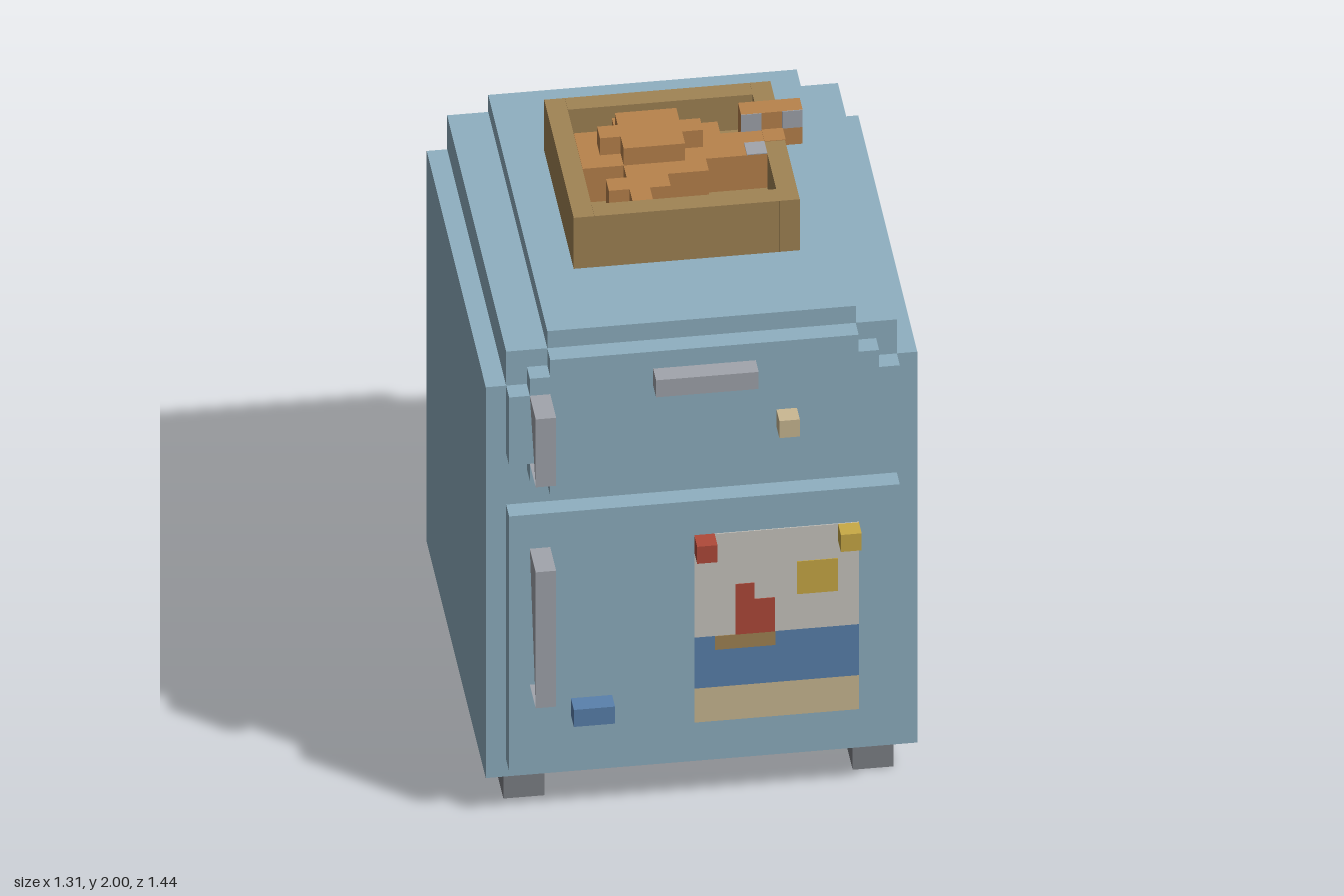
import * as THREE from 'three';

const mat = (name, color) => {
  const m = new THREE.MeshStandardMaterial({ color });
  m.name = name;
  return m;
};

export function createModel() {
  const model = new THREE.Group();
  model.name = 'refrigerator';

  const enamel = mat('blue enamel', 0x8fb0c1);
  const footGrey = mat('foot grey', 0x7e8187);
  const metal = mat('light metal', 0xa2a5ad);
  const tan = mat('sand tan', 0xcbb993);
  const red = mat('red', 0xb04a3a);
  const yellow = mat('yellow', 0xc9aa46);
  const blue = mat('sea blue', 0x5a81ad);
  const brown = mat('box brown', 0xa18455);
  const orange = mat('orange', 0xb9834c);
  const paper = mat('paper', 0xcac7c0);

  const add = (name, geometry, material, parent = model) => {
    const mesh = new THREE.Mesh(geometry, material);
    mesh.name = name;
    parent.add(mesh);
    return mesh;
  };
  // Box given by its two limits on each axis
  const box = (name, material, [x0, x1], [y0, y1], [z0, z1], parent) => {
    const m = add(name, new THREE.BoxGeometry(x1 - x0, y1 - y0, z1 - z0), material, parent);
    m.position.set((x0 + x1) / 2, (y0 + y1) / 2, (z0 + z1) / 2);
    return m;
  };
  // Mirrored outline from [half width, height] points, extruded along z
  const slab = (name, material, half, z0, z1) => {
    const pts = half.map(([w, y]) => new THREE.Vector2(w, y));
    pts.push(...half.slice().reverse().map(([w, y]) => new THREE.Vector2(-w, y)));
    const g = new THREE.ExtrudeGeometry(new THREE.Shape(pts), { depth: z1 - z0, bevelEnabled: false });
    g.translate(0, 0, z0);
    return add(name, g, material);
  };

  // Cabinet with stepped shoulders, and its doors
  slab('cabinet', enamel, [
    [0.656, 0.125], [0.656, 1.5625], [0.594, 1.5625], [0.594, 1.6875], [0.469, 1.6875], [0.469, 1.75],
  ], -0.719, 0.531);
  slab('freezerDoor', enamel, [
    [0.469, 1.1875], [0.469, 1.25], [0.531, 1.25], [0.531, 1.3125], [0.594, 1.3125],
    [0.594, 1.5625], [0.531, 1.5625], [0.531, 1.625], [0.469, 1.625], [0.469, 1.6875],
  ], 0.531, 0.594);
  slab('lowerDoor', enamel, [[0.594, 0.1875], [0.594, 1.125]], 0.531, 0.594);

  // Feet
  for (const s of [-1, 1]) for (const z of [0.406, -0.594]) {
    box('foot', footGrey, [s * 0.531 - 0.0625, s * 0.531 + 0.0625], [0, 0.125], [z - 0.0625, z + 0.0625]);
  }

  // Open-backed handles with a triangular web on each side
  const handleMetal = metal;
  handleMetal.side = THREE.DoubleSide;
  const handle = (name, y0, y1) => {
    const [x0, x1, z0, z1] = [-0.531, -0.469, 0.594, 0.719];
    const corners = [];
    for (const x of [x0, x1]) for (const y of [y0, y1]) for (const z of [z0, z1]) corners.push([x, y, z]);
    const faces = [
      [1, 5, 7], [1, 7, 3], // front
      [2, 3, 7], [2, 7, 6], // top
      [0, 4, 5], [0, 5, 1], // bottom
      [5, 4, 7], // web on the right-hand side
      [1, 3, 2], // web on the other side
    ];
    const g = new THREE.BufferGeometry();
    g.setAttribute('position', new THREE.Float32BufferAttribute(faces.flat().flatMap((i) => corners[i]), 3));
    g.computeVertexNormals();
    add(name, g, handleMetal);
  };
  handle('freezerHandle', 1.3125, 1.5625);
  handle('lowerHandle', 0.5, 1.0);

  // Name bar, knob and magnets
  const front = [0.594, 0.656];
  box('bar', metal, [-0.156, 0.156], [1.5625, 1.625], front);
  box('knob', tan, [0.219, 0.281], [1.375, 1.4375], front);
  box('redMagnet', red, [-0.031, 0.031], [0.9375, 1], front);
  box('yellowMagnet', yellow, [0.406, 0.469], [0.9375, 1], front);
  box('blueMagnet', blue, [-0.406, -0.281], [0.375, 0.4375], front);

  // Seaside drawing pinned to the lower door
  const drawing = new THREE.Group();
  drawing.name = 'drawing';
  model.add(drawing);
  const plate = (name, m, x, y, top = 0.597) => box(name, m, x, y, [0.593, top], drawing);
  plate('sky', paper, [-0.031, 0.469], [0.625, 1]);
  plate('sea', blue, [-0.031, 0.469], [0.4375, 0.625]);
  plate('beach', tan, [-0.031, 0.469], [0.3125, 0.4375]);
  plate('hull', brown, [0.031, 0.215], [0.575, 0.625], 0.599);
  plate('tallSail', red, [0.094, 0.152], [0.625, 0.81], 0.599);
  plate('shortSail', red, [0.152, 0.213], [0.625, 0.75], 0.599);
  plate('sun', yellow, [0.281, 0.406], [0.755, 0.875], 0.599);

  // Open box on top
  const crate = new THREE.Group();
  crate.name = 'crate';
  model.add(crate);
  const rim = 1.9375, floor = 1.8125;
  box('crateFloor', brown, [-0.281, 0.281], [1.75, floor], [-0.344, 0.156], crate);
  for (const s of [-1, 1]) {
    box('crateSide', brown, [s * 0.3125 - 0.0313, s * 0.3125 + 0.0313], [1.75, rim], [-0.406, 0.219], crate);
  }
  box('crateBack', brown, [-0.281, 0.281], [1.75, rim], [-0.406, -0.344], crate);
  box('crateFront', brown, [-0.281, 0.281], [1.75, rim], [0.156, 0.219], crate);

  // Toy lying in the box, level with the rim: [x0, x1, z0, z1]
  const toy = new THREE.Group();
  toy.name = 'toy';
  model.add(toy);
  for (const [x0, x1, z0, z1] of [
    [-0.281, 0.156, -0.219, -0.031], [0.156, 0.281, -0.156, -0.031], [0.219, 0.281, -0.219, -0.156],
    [-0.156, 0.031, -0.281, -0.219], [-0.156, 0.094, -0.031, 0.031], [-0.156, -0.094, 0.031, 0.156],
    [-0.219, -0.156, 0.031, 0.094], [-0.094, -0.031, 0.031, 0.094],
  ]) box('toyBody', orange, [x0, x1], [floor, rim], [z0, z1], toy);
  for (const [z0, z1] of [[-0.281, -0.219], [-0.156, -0.094]]) {
    box('rimPatch', orange, [0.281, 0.346], [1.875, rim + 0.002], [z0, z1], toy);
  }

  // Raised cross on the toy
  box('toyHead', orange, [-0.156, 0.031], [rim, 2], [-0.219, -0.031], toy);
  box('toyEarLeft', orange, [0.031, 0.094], [rim, 2], [-0.156, -0.094], toy);
  box('toyEarRight', orange, [-0.219, -0.156], [rim, 2], [-0.156, -0.094], toy);

  // Arm reaching over the rim, with light patches
  box('arm', orange, [0.219, 0.406], [rim, 2], [-0.219, -0.156], toy);
  box('paw', orange, [0.344, 0.406], [1.875, rim], [-0.219, -0.156], toy);
  for (const x of [[0.219, 0.281], [0.344, 0.406]]) {
    box('armPatch', metal, x, [rim, 2], [-0.157, -0.154], toy);
  }
  box('bodyPatch', metal, [0.219, 0.281], [rim - 0.003, rim + 0.003], [-0.094, -0.031], toy);

  return model;
}
